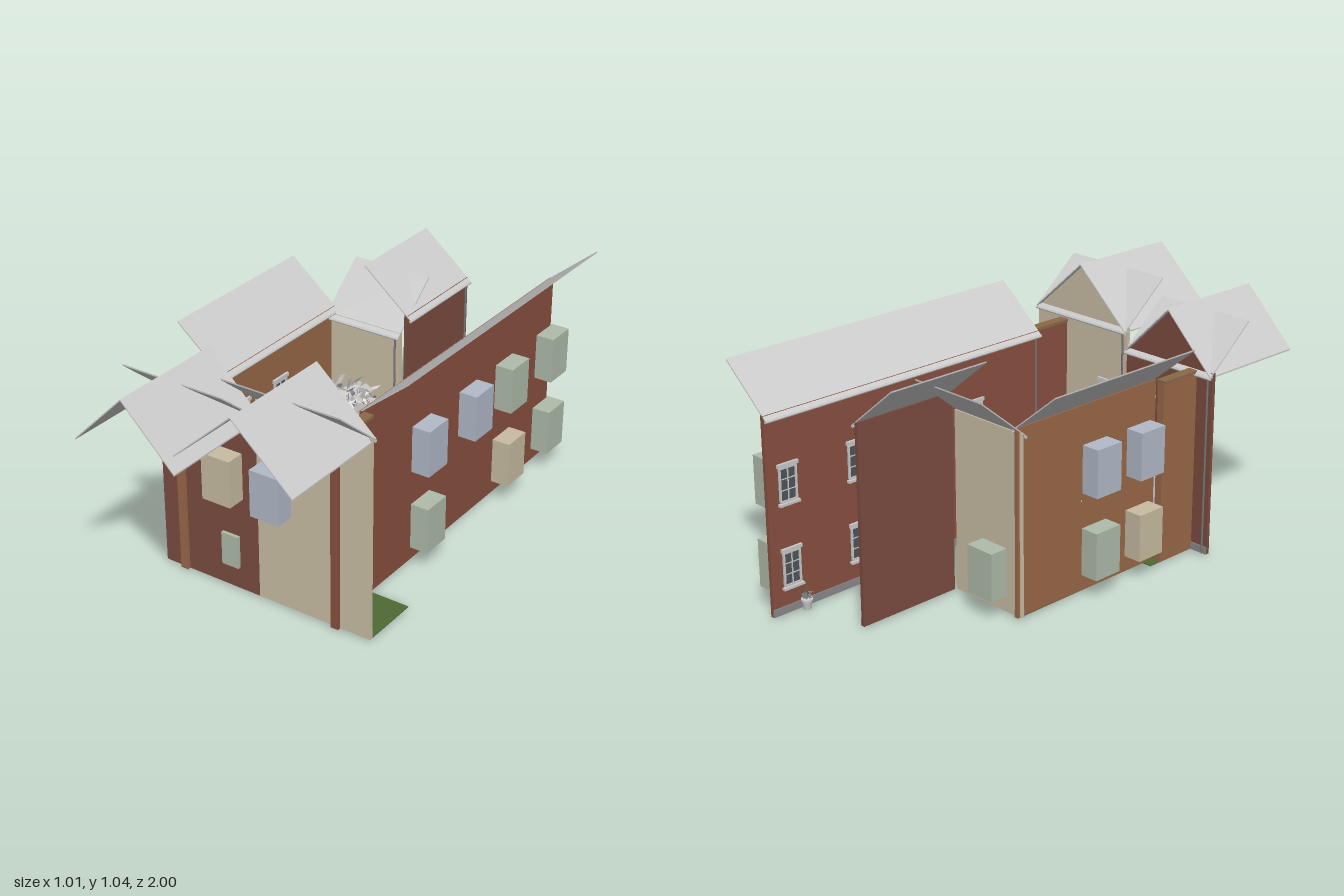
import * as THREE from 'three';

const mats = {};
const mat = (color) => (mats[color] ??= new THREE.MeshStandardMaterial({ color, side: THREE.DoubleSide, flatShading: true }));
const GREY = 0xcccccc, BRICK = 0x8a5040, DARKBRICK = 0x7c4c40, BROWN = 0x9a6848, BEIGE = 0xcbbfa6;
const GREEN = 0xb0bcaa, BLUE = 0xb2bac8, TAN = 0xc8bda2, GRASS = 0x4f6a34, PANE = 0x50565c;

function add(parent, name, geo, color, x = 0, y = 0, z = 0) {
  const m = new THREE.Mesh(geo, mat(color));
  m.name = name;
  m.position.set(x, y, z);
  parent.add(m);
  return m;
}

// box given by its minimum and maximum corners
function block(parent, name, color, [x0, y0, z0], [x1, y1, z1]) {
  return add(parent, name, new THREE.BoxGeometry(x1 - x0, y1 - y0, z1 - z0), color,
    (x0 + x1) / 2, (y0 + y1) / 2, (z0 + z1) / 2);
}

function rng(seed) {
  return () => (seed = (seed * 16807) % 2147483647) / 2147483647;
}

// sheet of constant thickness between two (a, y) points of a plane, extruded along one axis
function slab(parent, name, color, pts, from, to, alongX) {
  const shape = new THREE.Shape(pts.map((p) => new THREE.Vector2(alongX ? -p[0] : p[0], p[1])));
  const geo = new THREE.ExtrudeGeometry(shape, { depth: to - from, bevelEnabled: false });
  geo.translate(0, 0, from);
  if (alongX) geo.rotateY(Math.PI / 2);
  return add(parent, name, geo, color);
}

// framed window on the courtyard side with a shallow room box behind the wall
function addWindow(house, u, y, tint) {
  const g = new THREE.Group();
  g.name = 'window';
  g.position.set(u, y, 0);
  house.add(g);
  block(g, 'roomBox', tint, [-0.063, -0.095, -0.113], [0.063, 0.095, -0.037]);
  const w = 0.036, h = 0.065;
  block(g, 'pane', PANE, [-w, -h, 0], [w, h, 0.002]);
  for (const s of [-1, 1]) {
    block(g, 'frameSide', GREY, [s * w - 0.004, -h, 0], [s * w + 0.004, h, 0.007]);
    block(g, 'frameRail', GREY, [-w, s * h - 0.004, 0], [w, s * h + 0.004, 0.007]);
    block(g, 'glazingBar', GREY, [-w, s * h / 3 - 0.0015, 0], [w, s * h / 3 + 0.0015, 0.005]);
  }
  block(g, 'mullion', GREY, [-0.002, -h, 0], [0.002, h, 0.006]);
  block(g, 'sill', GREY, [-0.046, -h - 0.014, 0], [0.046, -h - 0.004, 0.015]);
  block(g, 'lintel', GREY, [-0.046, h + 0.004, 0], [0.046, h + 0.018, 0.01]);
}

function addDoor(house, u, color) {
  const g = new THREE.Group();
  g.name = 'door';
  g.position.x = u;
  house.add(g);
  block(g, 'doorLeaf', color, [-0.045, 0, 0], [0.045, 0.25, 0.004]);
  for (const s of [-1, 1]) block(g, 'doorPost', GREY, [s * 0.049 - 0.005, 0, 0], [s * 0.049 + 0.005, 0.25, 0.009]);
  block(g, 'doorHead', GREY, [-0.06, 0.25, 0], [0.06, 0.265, 0.013]);
  block(g, 'doorStep', GREY, [-0.055, 0, 0], [0.055, 0.01, 0.025]);
}

// facade facing local +z: wall, outward-rising roof sheet, gutter, plinth, openings
function addHouse(root, o) {
  const g = new THREE.Group();
  g.name = o.name;
  g.position.set(o.at[0], 0, o.at[1]);
  g.rotation.y = o.turn;
  root.add(g);
  const [a, b] = o.span, e = o.eave;
  const front = 0.015, back = -0.2, rise = 0.178;
  block(g, 'wall', o.color, [a, 0, -0.015], [b, e + 0.02, 0]);
  block(g, 'plinth', 0x8a8a8c, [a, 0, 0], [b, 0.03, 0.004]);
  slab(g, 'roofSheet', GREY, [[front, e], [back, e + rise], [back, e + rise + 0.006], [front, e + 0.006]], a, b, true);
  const gutter = add(g, 'gutter', new THREE.CylinderGeometry(0.006, 0.006, b - a, 8), GREY, (a + b) / 2, e, front - 0.002);
  gutter.rotation.z = Math.PI / 2;
  add(g, 'downpipe', new THREE.CylinderGeometry(0.004, 0.004, e, 8), 0x777777, b - 0.02, e / 2, 0.005);
  for (const w of o.windows) addWindow(g, ...w);
  if (o.door !== undefined) addDoor(g, o.door, o.doorColor ?? 0x4b4f55);

  // cross gable over the facade
  if (o.gable) {
    const m = (a + b) / 2, top = o.gable, lo = e + 0.003, end = -0.465;
    for (const s of [a, b]) {
      slab(g, 'gableRoof', GREY, [[s, lo], [m, top], [m, top + 0.006], [s, lo + 0.006]], end, front, false);
    }
    slab(g, 'gableWall', o.color, [[a + 0.01, e + 0.012], [b - 0.01, e + 0.012], [m, top - 0.003]], -0.012, 0, false);
  }
  return g;
}

// one mesh of crumpled leaf cards scattered in a volume
function leaves(parent, name, color, count, size, seed, place) {
  const r = rng(seed), pos = [];
  const v = () => new THREE.Vector3(r() - 0.5, r() - 0.5, r() - 0.5).normalize().multiplyScalar(size * (0.6 + 0.6 * r()));
  for (let i = 0; i < count; i++) {
    const c = place(r), u = v(), w = v();
    const tip = c.clone().add(u).add(w);
    for (const p of [c, c.clone().add(u), tip, c, tip, c.clone().add(w)]) pos.push(p.x, p.y, p.z);
  }
  const geo = new THREE.BufferGeometry();
  geo.setAttribute('position', new THREE.Float32BufferAttribute(pos, 3));
  geo.computeVertexNormals();
  add(parent, name, geo, color);
}

function addTree(root) {
  const g = new THREE.Group();
  g.name = 'tree';
  root.add(g);
  const base = new THREE.Vector3(-0.16, 0, -0.04), fork = new THREE.Vector3(-0.15, 0.2, -0.04);
  add(g, 'trunk', new THREE.CylinderGeometry(0.014, 0.024, 0.22, 8), GREY, -0.155, 0.11, -0.04);
  for (let i = 0; i < 6; i++) {
    const t = (i / 6) * Math.PI * 2;
    const end = new THREE.Vector3(-0.13 + 0.1 * Math.cos(t), 0.44, -0.03 + 0.18 * Math.sin(t));
    const mid = fork.clone().lerp(end, 0.5).add(new THREE.Vector3(0, -0.02, 0));
    add(g, 'branch', new THREE.TubeGeometry(new THREE.CatmullRomCurve3([fork, mid, end]), 8, 0.007, 6), GREY);
    const root3 = add(g, 'rootFlare', new THREE.ConeGeometry(0.01, 0.05, 5), GREY, base.x + 0.025 * Math.cos(t), 0.008, base.z + 0.025 * Math.sin(t));
    root3.rotation.set(Math.PI / 2, 0, Math.PI / 2 - t, 'YXZ');
    root3.scale.z = 0.6;
  }
  leaves(g, 'canopy', GREY, 800, 0.034, 11, (r) => {
    const t = r() * Math.PI * 2, c = 2 * r() - 1, s = Math.sqrt(1 - c * c), k = 0.55 + 0.4 * r();
    return new THREE.Vector3(-0.12 + 0.17 * k * s * Math.cos(t), 0.44 + 0.13 * k * c, -0.02 + 0.29 * k * s * Math.sin(t));
  });
}

function addPot(root, x, z, seed) {
  const g = new THREE.Group();
  g.name = 'plantPot';
  g.position.set(x, 0, z);
  root.add(g);
  const profile = [[0, 0], [0.014, 0], [0.02, 0.035], [0.023, 0.035], [0.023, 0.042], [0, 0.042]];
  add(g, 'pot', new THREE.LatheGeometry(profile.map((p) => new THREE.Vector2(...p)), 12), GREY);
  leaves(g, 'potPlant', 0x777a77, 30, 0.014, seed, (r) =>
    new THREE.Vector3((r() - 0.5) * 0.03, 0.045 + r() * 0.025, (r() - 0.5) * 0.03));
}

function addLamp(root, x, y, z) {
  const g = new THREE.Group();
  g.name = 'wallLamp';
  g.position.set(x, y, z);
  root.add(g);
  block(g, 'bracket', 0x333333, [-0.025, 0.02, -0.003], [0, 0.026, 0.003]);
  add(g, 'lantern', new THREE.CylinderGeometry(0.013, 0.008, 0.03, 6), 0x444444);
  add(g, 'lanternCap', new THREE.ConeGeometry(0.016, 0.014, 6), 0x333333, 0, 0.022, 0);
}

export function createModel() {
  const root = new THREE.Group();
  root.name = 'courtyard';
  const H = Math.PI / 2, UP = 0.505, LOW = 0.175;

  // houses around the yard
  addHouse(root, { name: 'frontBeigeHouse', at: [0, 0.535], turn: Math.PI, span: [-0.49, 0], eave: 0.803, color: BEIGE,
    gable: 1.028, windows: [[-0.103, UP, BLUE]], door: -0.2 });
  const brickFront = addHouse(root, { name: 'frontBrickHouse', at: [0, 0.535], turn: Math.PI, span: [0, 0.44], eave: 0.728,
    color: DARKBRICK, gable: 0.95, windows: [[0.112, UP, TAN]], door: 0.112 });
  block(brickFront, 'doorLight', GREEN, [0.075, 0.105, -0.044], [0.15, 0.24, -0.03]);
  addHouse(root, { name: 'rightBrickHouse', at: [0.305, 0], turn: -H, span: [-1, 0.35], eave: 0.765, color: BRICK, door: -0.325,
    windows: [[0, UP, BLUE], [-0.325, UP, BLUE], [-0.592, UP, GREEN], [-0.908, UP, GREEN],
      [0, LOW, GREEN], [-0.592, LOW, TAN], [-0.908, LOW, GREEN]] });
  addHouse(root, { name: 'leftBrownHouse', at: [-0.305, 0], turn: H, span: [-0.35, 0.37], eave: 0.722, color: BROWN,
    windows: [[0, UP, BLUE], [-0.235, UP, BLUE], [0, LOW, GREEN], [-0.235, LOW, TAN]], door: 0.15 });
  addHouse(root, { name: 'backBeigeHouse', at: [0, -0.345], turn: 0, span: [-0.325, 0.018], eave: 0.7, color: BEIGE,
    windows: [[-0.212, LOW, GREEN]], door: -0.07 });
  addHouse(root, { name: 'backBrickHouse', at: [0.035, 0], turn: H, span: [0.37, 0.81], eave: 0.768, color: DARKBRICK,
    windows: [], door: 0.58 });

  // tall side walls with copings
  for (const [x, top, color] of [[0.345, 0.787, BRICK], [-0.345, 0.744, BROWN]]) {
    block(root, 'sideWall', color, [x - 0.016, 0, 0.35], [x + 0.016, top - 0.012, 0.565]);
    block(root, 'sideWallCoping', 0x8a6a48, [x - 0.021, top - 0.012, 0.35], [x + 0.021, top, 0.567]);
  }

  // ground
  block(root, 'frontGarden', GRASS, [-0.36, 0, 0.3], [0.49, 0.004, 0.535]);
  block(root, 'lawn', GRASS, [-0.32, 0, -0.345], [0.018, 0.004, 0.28]);

  // picket fence
  const fence = new THREE.Group();
  fence.name = 'picketFence';
  root.add(fence);
  for (let i = 0; i <= 40; i++) {
    const x = -0.295 + i * 0.0148;
    block(fence, 'picket', GREY, [x - 0.004, 0, 0.297], [x + 0.004, 0.1, 0.301]);
  }
  for (const y of [0.025, 0.075]) block(fence, 'fenceRail', GREY, [-0.3, y, 0.301], [0.3, y + 0.008, 0.305]);

  // planting and fittings
  addTree(root);
  leaves(root, 'hedge', 0x77797c, 700, 0.028, 29, (r) =>
    new THREE.Vector3(-0.3 + 0.58 * r(), 0.03 + 0.13 * r(), 0.335 + 0.15 * r()));
  addPot(root, 0.28, -0.865, 3);
  addPot(root, 0.28, -0.575, 5);
  addPot(root, 0.28, -0.52, 7);
  const lamp = new THREE.Group();
  lamp.name = 'lamps';
  root.add(lamp);
  addLamp(lamp, 0.06, 0.27, -0.68);
  const right = new THREE.Group();
  right.name = 'rightLamp';
  right.rotation.y = Math.PI;
  lamp.add(right);
  addLamp(right, -0.28, 0.27, 0.52);
  return root;
}
